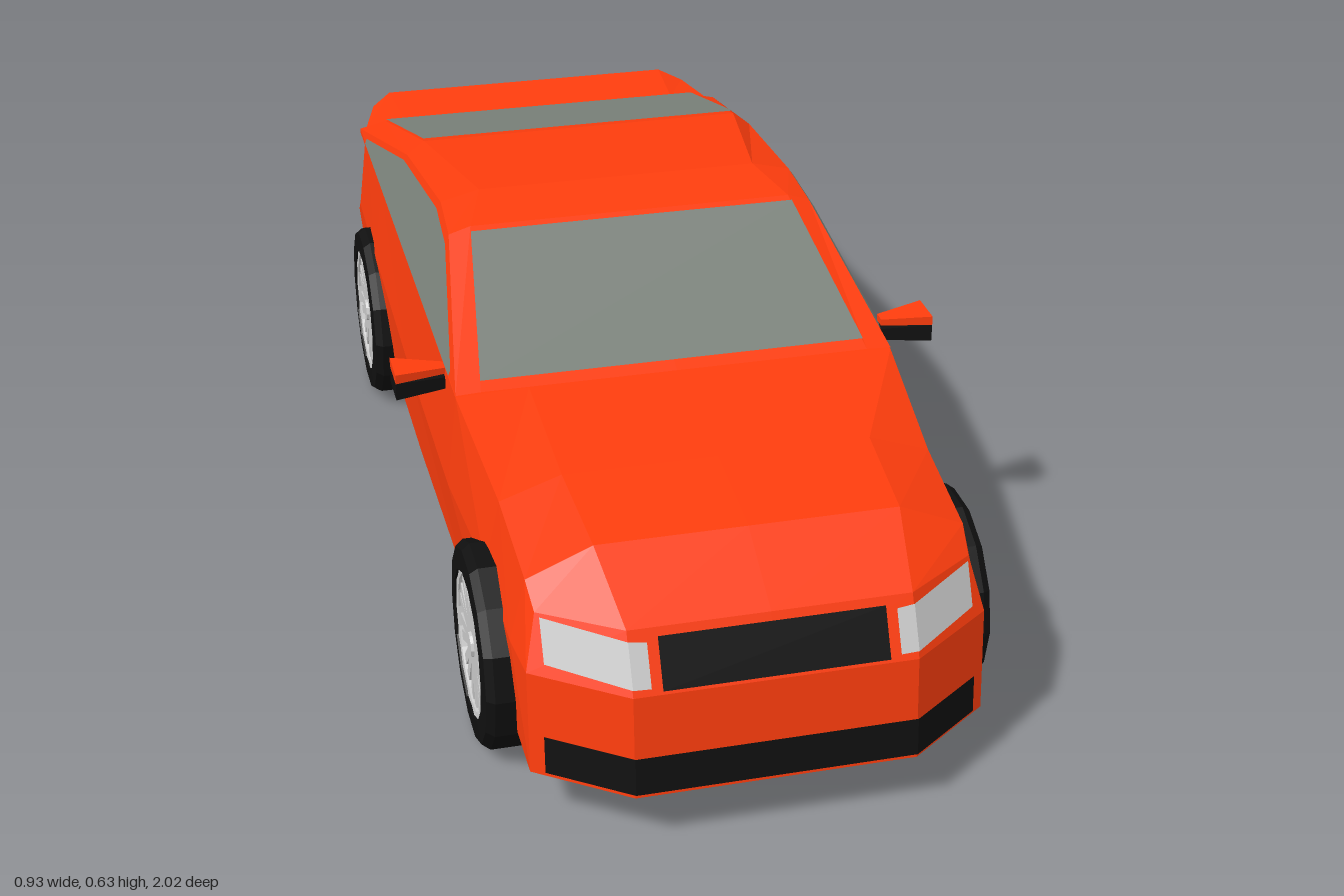
import * as THREE from 'three';
import { mergeGeometries } from 'three/addons/utils/BufferGeometryUtils.js';

const mat = (color, side = THREE.FrontSide) => new THREE.MeshStandardMaterial({ color, flatShading: true, side });
const paint = mat(0xff3d0d);
const black = mat(0x101010, THREE.DoubleSide);
const glass = mat(0x7c837c, THREE.DoubleSide);
const lamp = mat(0xcccccc, THREE.DoubleSide);
const tailGrey = mat(0xaaaaaa, THREE.DoubleSide);
const rimDark = mat(0x777777, THREE.DoubleSide);

// Surface through rows of points
function grid(rows) {
  const n = rows[0].length, index = [];
  for (let i = 0; i < rows.length - 1; i++) {
    for (let j = 0; j < n - 1; j++) {
      const a = i * n + j, b = a + 1, d = a + n, c = d + 1;
      index.push(a, b, c, a, c, d);
    }
  }
  const g = new THREE.BufferGeometry();
  g.setAttribute('position', new THREE.Float32BufferAttribute(rows.flat(2), 3));
  g.setIndex(index);
  g.computeVertexNormals();
  return g;
}

function add(parent, name, geometry, material) {
  const m = new THREE.Mesh(geometry, material);
  m.name = name;
  parent.add(m);
  return m;
}

const mirrorRow = (half) => [...half.slice(1).reverse().map(([x, y, z]) => [-x, y, z]), ...half];

// Body sections, rear to front:
// z at bottom, middle, top | corner pull-back per x, flat half width | half widths | heights, crown
const SECTIONS = [
  [-0.92, -1, -0.95, -1.1, 0.29, 0.33, 0.37, 0.33, 0.13, 0.24, 0.47, 0.48],
  [-0.8, -0.8, -0.8, 0, 0.28, 0.365, 0.38, 0.36, 0.11, 0.3, 0.465, 0.478],
  [-0.5, -0.5, -0.5, 0, 0.25, 0.37, 0.39, 0.372, 0.1, 0.32, 0.465, 0.466],
  [-0.1, -0.1, -0.1, 0, 0.25, 0.37, 0.39, 0.372, 0.1, 0.3, 0.465, 0.466],
  [0.36, 0.36, 0.36, 0, 0.25, 0.365, 0.39, 0.372, 0.1, 0.3, 0.462, 0.466],
  [0.62, 0.62, 0.62, 0, 0.25, 0.36, 0.375, 0.35, 0.1, 0.3, 0.415, 0.45],
  [0.8, 0.8, 0.8, 0, 0.24, 0.36, 0.37, 0.345, 0.1, 0.28, 0.385, 0.43],
  [0.99, 0.975, 0.93, 0.714, 0.22, 0.36, 0.36, 0.34, 0.1, 0.27, 0.355, 0.36],
];

function buildBody() {
  const parts = SECTIONS.map(([zb, zm, zt, bow, k, wb, wm, wt, yb, ym, yt, yc]) => {
    const p = (x, y, z) => [x, y, z - bow * Math.max(0, x - k)];
    return {
      bottom: [p(0, yb, zb), p(k, yb, zb), p(wb, yb, zb)],
      middle: [p(0, ym, zm), p(k, ym, zm), p(wm, ym, zm)],
      top: [p(0, yc, zt), p(k, yc, zt), p(wt, yt, zt)],
    };
  });
  const rings = parts.map(({ bottom, middle, top }) => {
    const half = [...bottom, middle[2], ...top.slice().reverse()];
    const other = half.slice(0, -1).reverse().map(([x, y, z]) => [-x, y, z]);
    return [...half, ...other];
  });
  const cap = (s) => [s.bottom, s.middle, s.top].map(mirrorRow);
  const rear = cap(parts[0]).map((r) => r.reverse());
  return mergeGeometries([grid(rings), grid(rear), grid(cap(parts.at(-1)))]);
}

// Cabin sides lean inwards on one plane
const sideX = (y) => 0.372 - 0.36 * (y - 0.465);

// Cabin sections, front to rear: z, side height, crown half width, crown height
const CABIN = [
  [0.36, 0.465, 0.33, 0.467],
  [0.03, 0.6, 0.285, 0.612],
  [-0.08, 0.613, 0.25, 0.63],
  [-0.39, 0.575, 0.3, 0.6],
  [-0.8, 0.467, 0.32, 0.479],
];

// Glass lying on the slope between two cabin sections
function slopeGlass(a, b, t0, t1) {
  const rows = [t0, t1].map((t) => {
    const [z, , w, y] = a.map((v, i) => THREE.MathUtils.lerp(v, b[i], t));
    return [[-w, y + 0.005, z], [w, y + 0.005, z]];
  });
  return grid(rows);
}

// Strip on the nose from columns of x, low y, high y
function noseStrip(columns) {
  const at = (x, y) => {
    const z = y < 0.27 ? 0.99 - 0.088 * (y - 0.1) : 0.975 - 0.5 * (y - 0.27);
    return [x, y, z - 0.714 * Math.max(0, Math.abs(x) - 0.22) + 0.005];
  };
  return grid([1, 2].map((i) => columns.map((c) => at(c[0], c[i]))));
}

function buildWheel() {
  const wheel = new THREE.Group();
  const lathe = (pts, sides) =>
    new THREE.LatheGeometry(pts.map(([r, y]) => new THREE.Vector2(r, y)), sides).rotateZ(-Math.PI / 2);
  add(wheel, 'tyre', lathe([[0.118, -0.055], [0.155, -0.055], [0.168, -0.04], [0.168, 0.04],
    [0.158, 0.053], [0.122, 0.055], [0.118, 0.03]], 14), black);
  add(wheel, 'rimRing', lathe([[0.11, 0.03], [0.112, 0.05], [0.123, 0.052]], 20), lamp);
  add(wheel, 'rimBack', new THREE.CircleGeometry(0.12, 20).rotateY(Math.PI / 2).translate(0.033, 0, 0), rimDark);
  add(wheel, 'innerFace', new THREE.CircleGeometry(0.12, 20).rotateY(Math.PI / 2).translate(-0.045, 0, 0), rimDark);
  add(wheel, 'hub', new THREE.CylinderGeometry(0.02, 0.025, 0.02, 10).rotateZ(-Math.PI / 2).translate(0.042, 0, 0), lamp);
  const spokes = [];
  for (let i = 0; i < 10; i++) {
    for (const off of [-0.13, 0.13]) {
      const g = new THREE.BoxGeometry(0.012, 0.1, 0.017).translate(0.041, 0.064, 0);
      spokes.push(g.rotateX((i / 10) * Math.PI * 2 + off));
    }
  }
  add(wheel, 'spokes', mergeGeometries(spokes), lamp);
  return wheel;
}

// Mirror block, narrower towards the door
function mirrorBlock(height, y) {
  const g = new THREE.BoxGeometry(0.085, height, 0.065);
  const p = g.attributes.position;
  for (let i = 0; i < p.count; i++) {
    if (p.getX(i) < 0) p.setXYZ(i, p.getX(i), p.getY(i) * 0.7 - 0.004, p.getZ(i) * 0.35);
  }
  return g.translate(0.42, y, 0.28);
}

export function createModel() {
  const model = new THREE.Group();
  const car = new THREE.Group();
  car.name = 'car';
  car.position.x = -0.015;
  car.rotation.y = 0.06;
  model.add(car);

  add(car, 'body', buildBody(), paint);
  add(car, 'cabin', grid(CABIN.map(([z, ys, w, y]) =>
    mirrorRow([[0, y, z], [w, y, z], [sideX(ys), ys, z], [0.372, 0.46, z]]))), paint);
  add(car, 'windscreen', slopeGlass(CABIN[0], CABIN[1], 0.05, 0.95), glass);
  add(car, 'rearWindow', slopeGlass(CABIN[3], CABIN[4], 0.01, 0.97), glass);

  // Nose and tail details
  add(car, 'grille', noseStrip([[-0.175, 0.277, 0.35], [0.175, 0.277, 0.35]]), black);
  add(car, 'lowerIntake', noseStrip([-0.34, -0.22, 0.22, 0.34].map((x) => [x, 0.108, 0.17])), black);
  const tailZ = (y) => -1.004 + 0.208 * (y - 0.24);
  add(car, 'tailStrip', grid([0.375, 0.445].map((y) => [[0.285, y, tailZ(y)], [-0.285, y, tailZ(y)]])), tailGrey);

  for (const s of [1, -1]) {
    const side = s > 0 ? 'left' : 'right';
    add(car, side + 'Headlight', noseStrip([[0.192, 0.282, 0.344], [0.22, 0.283, 0.347], [0.335, 0.29, 0.353]]
      .map(([x, a, b]) => [s * x, a, b])), lamp);

    // Side glass from belt line to roof rail
    const outline = [[0.3, 0.482], [0.04, 0.588], [-0.08, 0.602], [-0.39, 0.566], [-0.71, 0.481]];
    const point = (z, y) => [s * (sideX(y) + 0.004), y, z];
    add(car, side + 'SideWindow', grid([outline.map(([z]) => point(z, 0.471)), outline.map(([z, y]) => point(z, y))]), glass);

    const mirror = new THREE.Group();
    mirror.name = side + 'Mirror';
    add(mirror, 'mirrorHousing', mirrorBlock(0.03, 0.458), black);
    add(mirror, 'mirrorCap', mirrorBlock(0.016, 0.481), paint);
    if (s < 0) mirror.scale.x = -1;
    car.add(mirror);

    for (const [end, z] of [['Front', 0.635], ['Rear', -0.575]]) {
      const wheel = buildWheel();
      wheel.name = side + end + 'Wheel';
      wheel.position.set(s * 0.355, 0.168, z);
      if (s < 0) wheel.rotation.y = Math.PI;
      car.add(wheel);
    }
  }
  return model;
}
